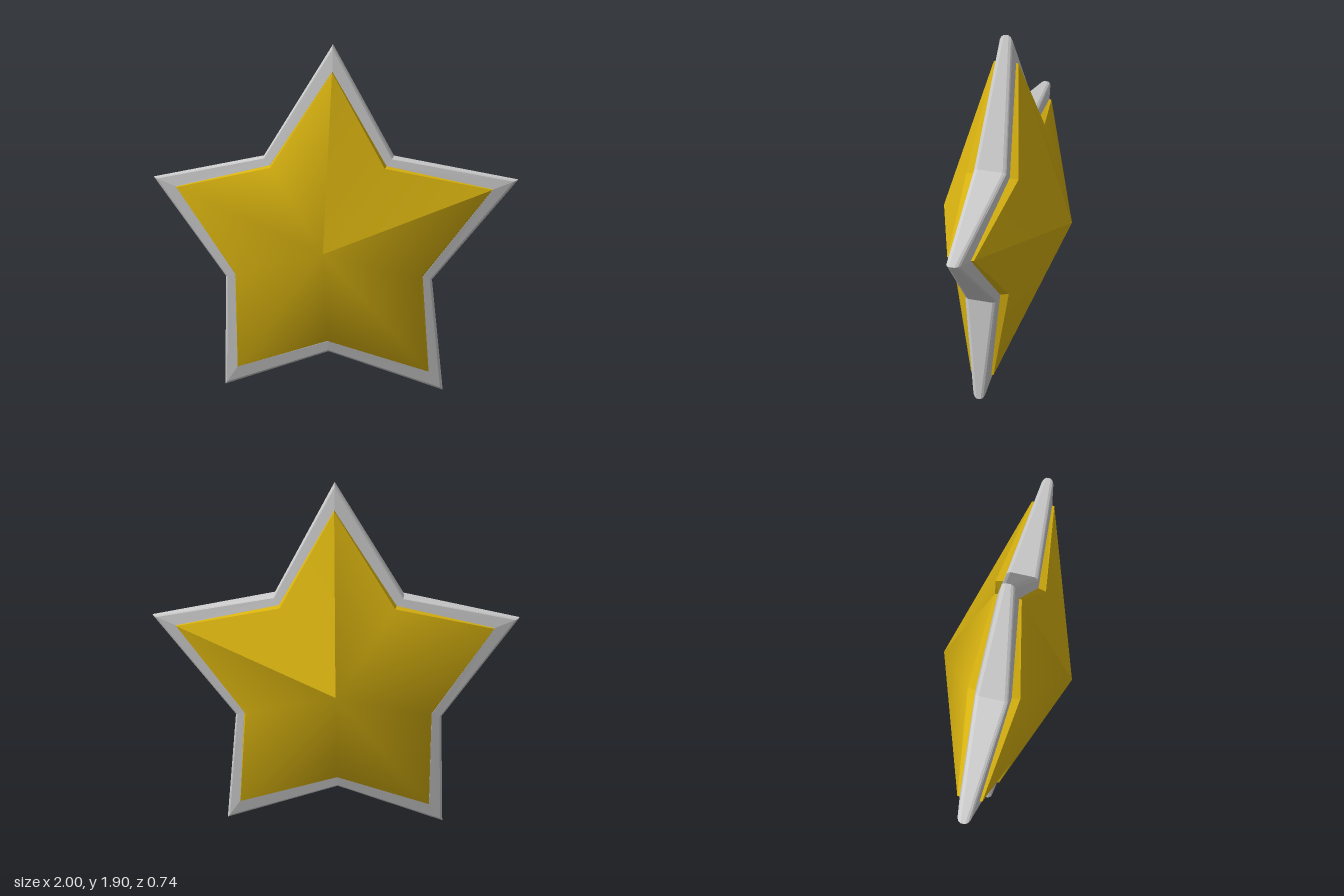
import * as THREE from 'three';

// Star corners clockwise from the top: tips and valleys alternate.
const RIM = [[0, 1.9], [0.33, 1.3], [1, 1.18], [0.545, 0.635], [0.615, 0],
  [-0.02, 0.22], [-0.615, 0], [-0.59, 0.635], [-1, 1.18], [-0.375, 1.3]];
const INNER = [[0, 1.755], [0.295, 1.255], [0.865, 1.13], [0.495, 0.655], [0.535, 0.115],
  [-0.02, 0.285], [-0.535, 0.115], [-0.535, 0.655], [-0.865, 1.13], [-0.335, 1.255]];
const PEAK = [-0.02, 0.82, 0.37];

// Ring of points: outline scaled about the peak, with separate depths for tips and valleys.
function ring(outline, tipZ, valleyZ, tipScale = 1, valleyScale = tipScale) {
  return outline.map(([x, y], i) => {
    const s = i % 2 ? valleyScale : tipScale;
    return [PEAK[0] + (x - PEAK[0]) * s, PEAK[1] + (y - PEAK[1]) * s, i % 2 ? valleyZ : tipZ];
  });
}

const mirrorZ = ([x, y, z]) => [x, y, -z];

// Flat-faced bands joining successive rings.
function bands(rings) {
  const pos = [];
  for (let r = 0; r < rings.length - 1; r++) {
    const a = rings[r], b = rings[r + 1];
    for (let i = 0; i < a.length; i++) {
      const j = (i + 1) % a.length;
      pos.push(...a[i], ...b[i], ...b[j], ...a[i], ...b[j], ...a[j]);
    }
  }
  const geo = new THREE.BufferGeometry();
  geo.setAttribute('position', new THREE.Float32BufferAttribute(pos, 3));
  geo.computeVertexNormals();
  return geo;
}

// Smooth fan from the peak to a run of edge points.
function fan(points, side) {
  const geo = new THREE.BufferGeometry();
  const all = [PEAK, ...points].map((p) => (side > 0 ? p : mirrorZ(p)));
  const index = [];
  for (let i = 1; i < points.length; i++) {
    index.push(0, ...(side > 0 ? [i + 1, i] : [i, i + 1]));
  }
  geo.setAttribute('position', new THREE.Float32BufferAttribute(all.flat(), 3));
  geo.setIndex(index);
  geo.computeVertexNormals();
  return geo;
}

export function createModel() {
  const model = new THREE.Group();
  const grey = new THREE.MeshStandardMaterial({ color: 0xcccccc, side: THREE.DoubleSide });
  const gold = new THREE.MeshStandardMaterial({ color: 0xd9b310, side: THREE.DoubleSide });
  const add = (name, geo, mat) => {
    const mesh = new THREE.Mesh(geo, mat);
    mesh.name = name;
    model.add(mesh);
  };

  // Grey rim: outer wall, rounded edge and sloping faces on both sides
  const frontRim = [
    ring(INNER, 0.052, 0.095),
    ring(RIM, 0.033, 0.085, 0.975, 0.98),
    ring(RIM, 0.025, 0.078, 0.99),
    ring(RIM, 0.012, 0.066),
  ];
  const backRim = frontRim.map((r) => r.map(mirrorZ)).reverse();
  add('starRim', bands([...frontRim, ...backRim]), grey);

  // Gold domes: a low wall, then a smooth roof with one crisp wedge
  const base = ring(INNER, 0.045, 0.085);
  const top = ring(INNER, 0.065, 0.138, 0.995, 0.975);
  for (const side of [1, -1]) {
    const label = side > 0 ? 'front' : 'back';
    const wall = side > 0 ? [top, base] : [base.map(mirrorZ), top.map(mirrorZ)];
    add(label + 'DomeWall', bands(wall), gold);
    add(label + 'DomeRoof', fan([...top.slice(2), top[0]], side), gold);
    add(label + 'DomeWedge', fan(top.slice(0, 3), side), gold);
  }
  return model;
}
